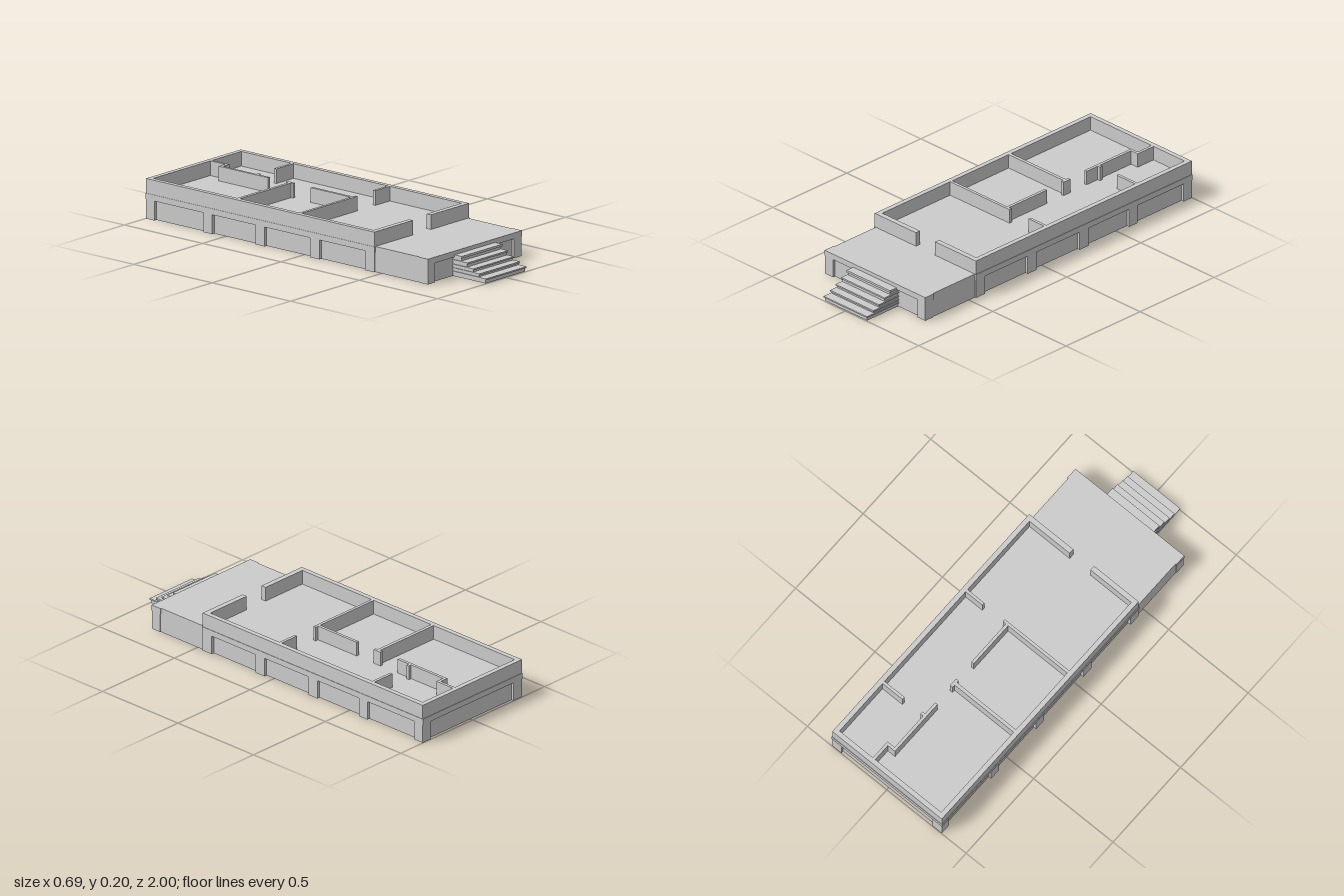
import * as THREE from 'three';

const material = new THREE.MeshStandardMaterial({ color: 0xcccccc, flatShading: true });

export function createModel() {
  const model = new THREE.Group();

  // Box given by its limits on each axis
  function block(parent, name, x0, x1, y0, y1, z0, z1) {
    const geometry = new THREE.BoxGeometry(x1 - x0, y1 - y0, z1 - z0);
    geometry.translate((x0 + x1) / 2, (y0 + y1) / 2, (z0 + z1) / 2);
    const mesh = new THREE.Mesh(geometry, material);
    mesh.name = name;
    parent.add(mesh);
  }
  function group(name) {
    const g = new THREE.Group();
    g.name = name;
    model.add(g);
    return g;
  }

  const FLOOR = 0.127, BAND = 0.097, TOP = 0.2;

  // Foundation: recessed core, floor slab and projecting piers
  const foundation = group('foundation');
  block(foundation, 'foundationCore', -0.33, 0.33, 0, BAND, -0.985, 0.46);
  block(foundation, 'floorSlab', -0.347, 0.347, BAND, FLOOR, -1, 0.462);
  const piers = [[0.4, 0.46], [0.05, 0.11], [-0.3, -0.24], [-0.632, -0.575], [-0.998, -0.943]];
  for (const [z0, z1] of piers) {
    block(foundation, 'rightPier', -0.345, -0.287, 0, BAND, z0, z1);
    block(foundation, 'leftPier', 0.287, 0.345, 0, BAND, z0, z1);
  }

  // Porch: body, front edge and two corner piers
  const porch = group('porch');
  block(porch, 'porchBody', -0.338, 0.338, 0, FLOOR, 0.46, 0.785);
  block(porch, 'porchEdge', -0.343, 0.343, BAND, FLOOR, 0.742, 0.8);
  block(porch, 'rightPorchPier', -0.341, -0.287, 0, BAND, 0.745, 0.798);
  block(porch, 'leftPorchPier', 0.287, 0.341, 0, BAND, 0.745, 0.798);

  // Stairs: solid risers with overhanging treads
  const stairs = group('stairs');
  const steps = [
    [1.0, 0.018, 0.025], [0.957, 0.034, 0.042], [0.92, 0.053, 0.06],
    [0.882, 0.075, 0.083], [0.845, 0.097, 0.108],
  ];
  for (const [front, under, top] of steps) {
    block(stairs, 'riser', -0.143, 0.143, 0, under, 0.78, front - 0.006);
    block(stairs, 'tread', -0.148, 0.148, under, top, 0.785, front);
  }

  // Outer walls, with the entrance gap at the front
  const outer = group('outerWalls');
  const outerWalls = [
    ['rightWall', -0.345, -0.32, -0.998, 0.46],
    ['leftWall', 0.32, 0.345, -0.998, 0.46],
    ['backWall', -0.32, 0.32, -0.998, -0.973],
    ['frontWallRight', -0.32, -0.064, 0.433, 0.46],
    ['frontWallLeft', 0.067, 0.32, 0.433, 0.46],
  ];
  // Room partitions
  const inner = group('partitions');
  const partitions = [
    ['backCorridorWall', 0.095, 0.11, -0.973, -0.865],
    ['corridorJog', 0.05, 0.11, -0.88, -0.865],
    ['corridorWall', 0.05, 0.065, -0.865, -0.565],
    ['backDoorStub', 0.065, 0.081, -0.655, -0.64],
    ['backRoomWall', 0.195, 0.32, -0.655, -0.64],
    ['middleRoomWall', -0.32, 0.052, -0.437, -0.42],
    ['middleWallEnd', 0.052, 0.067, -0.453, -0.408],
    ['middleCorridorWall', 0.052, 0.067, -0.295, -0.04],
    ['frontRoomWall', -0.32, 0.085, -0.04, -0.025],
    ['frontRoomStub', 0.215, 0.32, -0.04, -0.025],
  ];
  for (const [parent, list] of [[outer, outerWalls], [inner, partitions]])
    for (const [name, x0, x1, z0, z1] of list)
      block(parent, name, x0, x1, FLOOR, TOP, z0, z1);

  return model;
}
